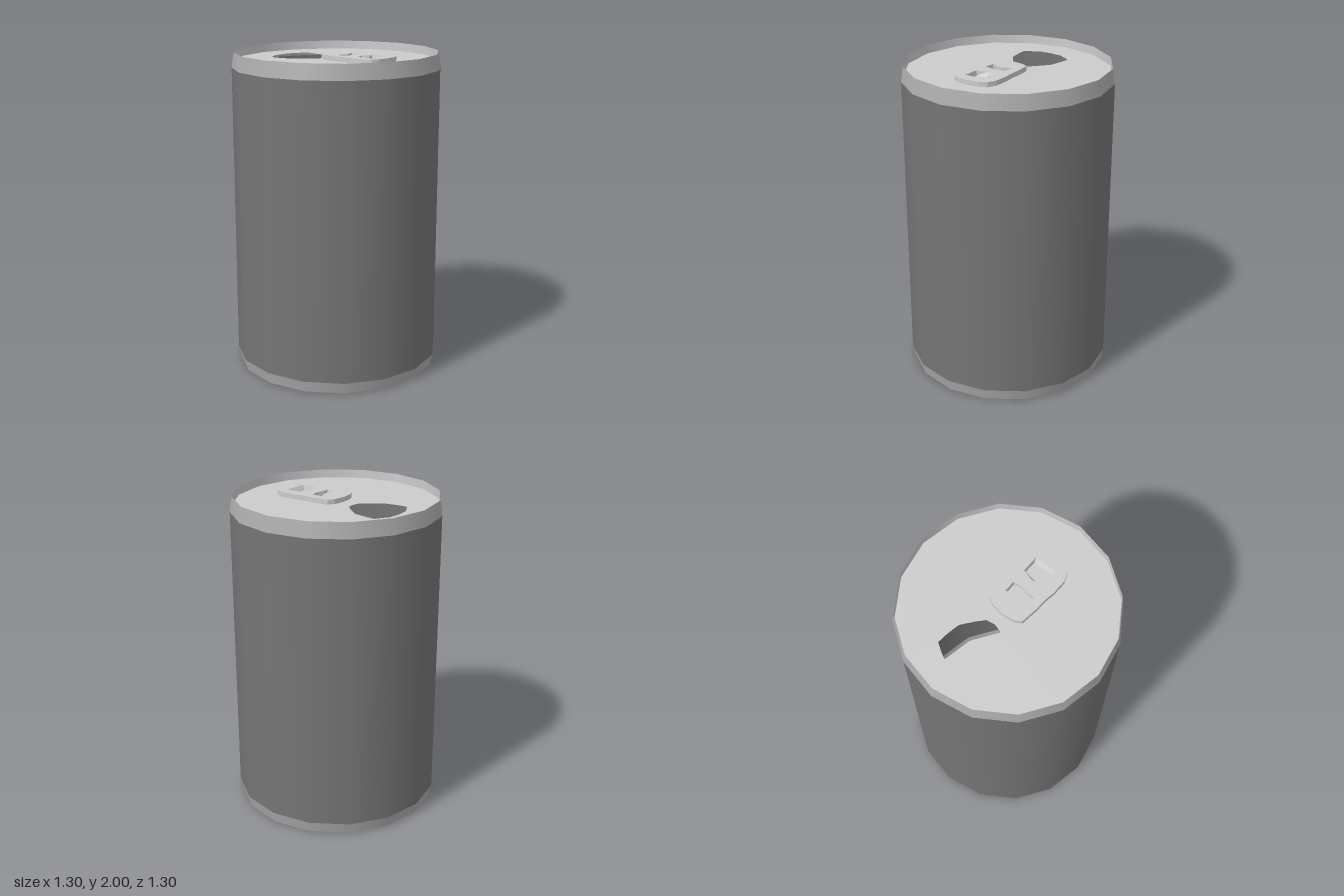
import * as THREE from 'three';

const SIDES = 16;
const R = 0.648;        // body radius
const RIM = 0.633;      // radius at both ends
const LID_Y = 1.947;    // lid sits slightly below the top rim
const BASE_Y = 0.035;   // base sits slightly above the bottom rim

const paint = (color) => new THREE.MeshStandardMaterial({ color, side: THREE.DoubleSide });
const silver = paint(0xcccccc);
const grey = paint(0xadadad);
const dark = paint(0x757575);

// [x, z] pairs to a path lying in the ground plane once turned flat
const points = (list) => list.map(([x, z]) => new THREE.Vector2(x, -z));

// mirror the right half of an outline, listed from end to end on the centre line
const mirrored = (half) =>
  points([...half, ...half.slice(1, -1).reverse().map(([x, z]) => [-x, z])]);

function addMesh(group, name, geometry, material, y = 0) {
  const mesh = new THREE.Mesh(geometry, material);
  mesh.name = name;
  mesh.position.y = y;
  group.add(mesh);
}

// open smooth ring between two heights
function addRing(group, name, y0, r0, y1, r1, material) {
  const ring = new THREE.CylinderGeometry(r1, r0, y1 - y0, SIDES, 1, true);
  addMesh(group, name, ring, material, (y0 + y1) / 2);
}

// pull tab with two cut-outs that narrow towards the underside
function tabGeometry() {
  const tab = new THREE.Shape(mirrored([
    [0, -0.057], [0.076, -0.046], [0.118, -0.022], [0.131, 0.09], [0.131, 0.15],
    [0.142, 0.23], [0.142, 0.315], [0.12, 0.37], [0.073, 0.394], [0, 0.402],
  ]));
  tab.holes.push(
    new THREE.Path(mirrored([[0, 0.09], [0.073, 0.06], [0.073, 0.13], [0, 0.14]])),
    new THREE.Path(mirrored([[0, 0.205], [0.073, 0.222], [0.073, 0.328], [0, 0.33]])),
  );
  const geometry = new THREE.ExtrudeGeometry(tab, { depth: 0.03, bevelEnabled: false });
  geometry.rotateX(-Math.PI / 2);
  const { clamp } = THREE.MathUtils;
  const pos = geometry.attributes.position;
  for (let i = 0; i < pos.count; i++) {
    const x = pos.getX(i), z = pos.getZ(i);
    const inCutOut = Math.abs(x) < 0.0735 && z > 0.05 && z < 0.34;
    if (pos.getY(i) > 0.01 || !inCutOut) continue;
    pos.setX(i, clamp(x, -0.068, 0.068));
    pos.setZ(i, z > 0.17 ? clamp(z, 0.222, 0.31) : Math.min(z, 0.132));
  }
  geometry.computeVertexNormals();
  return geometry;
}

export function createModel() {
  const can = new THREE.Group();
  can.name = 'drinkCan';

  // hollow shell with a raised rim at both ends
  addRing(can, 'bottomRimInside', 0, RIM, BASE_Y, RIM - 0.001, silver);
  addRing(can, 'bottomBevel', 0, RIM, 0.07, R, grey);
  addRing(can, 'body', 0.07, R, 1.905, R, dark);
  addRing(can, 'topBevel', 1.905, R, 2, RIM, grey);
  addRing(can, 'topRimInside', LID_Y, RIM - 0.001, 2, RIM, silver);

  // recessed base, turned to share the corners of the shell
  const base = new THREE.CircleGeometry(RIM, SIDES).rotateX(Math.PI / 2);
  addMesh(can, 'base', base, silver, BASE_Y);

  // lid with the drinking opening
  const edge = Array.from({ length: SIDES }, (_, i) => {
    const a = (i / SIDES) * Math.PI * 2;
    return [RIM * Math.cos(a), RIM * Math.sin(a)];
  });
  const lid = new THREE.Shape(points(edge));
  lid.holes.push(new THREE.Path(mirrored([
    [0, -0.46], [0.083, -0.45], [0.166, -0.4], [0.163, -0.345],
    [0.147, -0.25], [0.09, -0.175], [0.05, -0.13], [0, -0.12],
  ])));
  addMesh(can, 'lid', new THREE.ShapeGeometry(lid).rotateX(-Math.PI / 2), silver, LID_Y);

  addMesh(can, 'pullTab', tabGeometry(), silver, LID_Y + 0.01);

  return can;
}
